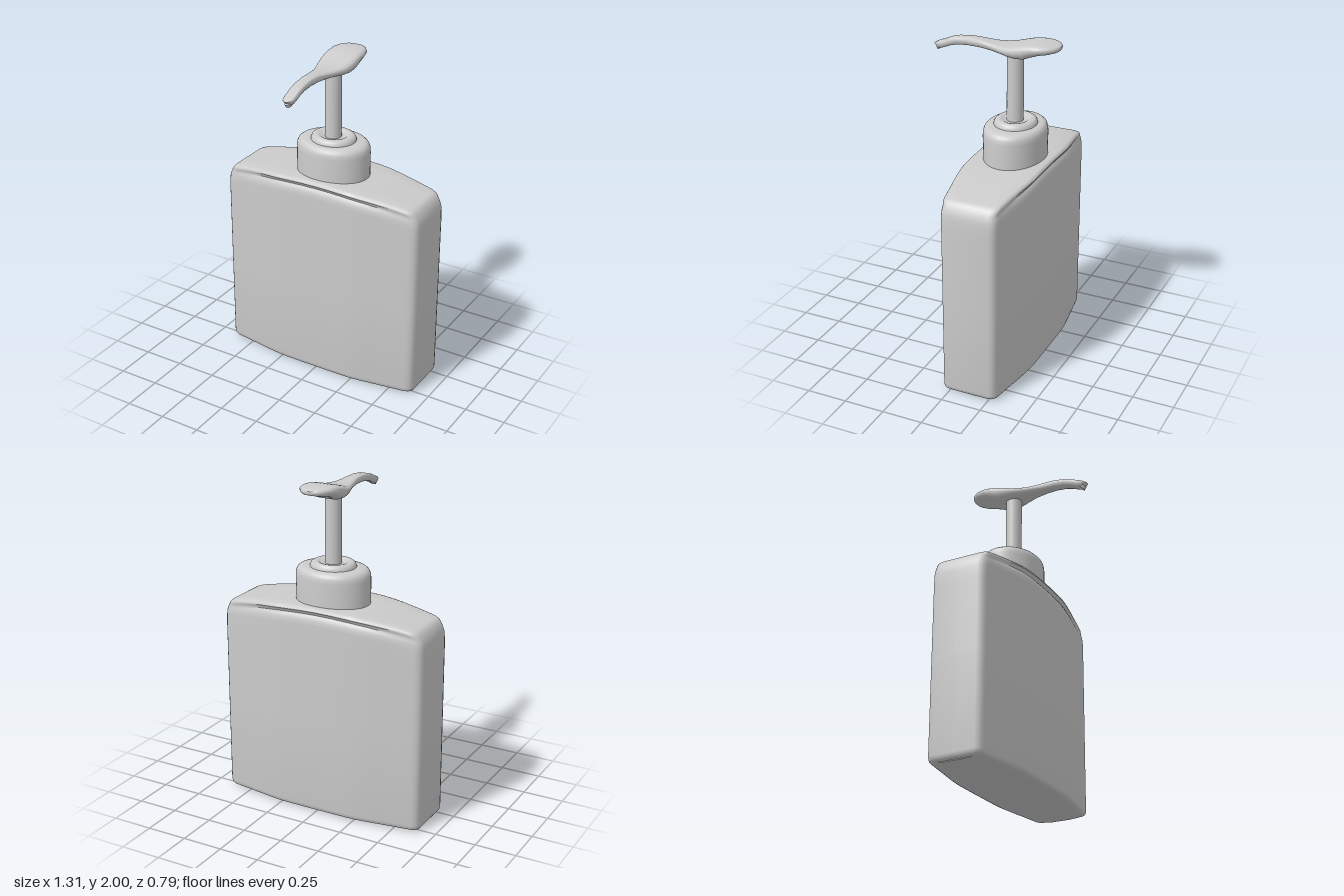
import * as THREE from 'three';
import { toCreasedNormals } from 'three/addons/utils/BufferGeometryUtils.js';

const material = new THREE.MeshStandardMaterial({ color: 0xcccccc });
const AXIS_Z = -0.125; // pump axis sits behind the spout

// Skin a list of closed rings, all with the same number of points
function loft(rings, crease) {
  const n = rings[0].length;
  const index = [];
  for (let i = 0; i < rings.length - 1; i++) {
    for (let j = 0; j < n; j++) {
      const a = i * n + j, b = i * n + (j + 1) % n;
      index.push(a, b, b + n, a, b + n, a + n);
    }
  }
  const geometry = new THREE.BufferGeometry();
  geometry.setAttribute('position', new THREE.Float32BufferAttribute(rings.flat(2), 3));
  geometry.setIndex(index);
  return toCreasedNormals(geometry, crease);
}

function part(name, geometry) {
  const mesh = new THREE.Mesh(geometry, material);
  mesh.name = name;
  return mesh;
}

// Flat bottle: bowed front and back, straight narrow sides, arched shoulder
function bottleGeometry() {
  const quarter = [[0, 0.23], [0.1, 0.23], [0.2, 0.229], [0.25, 0.227], [0.3, 0.222], [0.35, 0.215],
    [0.4, 0.207], [0.5, 0.191], [0.6, 0.176], [0.62, 0.172], [0.638, 0.163], [0.649, 0.15], [0.655, 0.13], [0.655, 0]];
  const back = quarter.slice(0, -1).reverse().map(([x, z]) => [x, -z]);
  const right = [...quarter, ...back];
  const left = right.slice(1, -1).reverse().map(([x, z]) => [-x, z]);
  const outline = [...right, ...left];
  const topY = (x) => 1.29 - 0.06 * (x / 0.62) ** 2;

  // [height or drop below the arch, inset in x, inset in z, groove depth, z scale]
  const lower = [[0, 0.025, 0.025, 0, 0], [0, 0.025, 0.025, 0, 0.5], [0.005, 0.025, 0.025, 0, 1],
    [0.012, 0.01, 0.01, 0, 1], [0.022, 0.003, 0.003, 0, 1], [0.04, 0, 0, 0, 1], [0.6, 0, 0, 0, 1]];
  const upper = [[0.16, 0, 0, 0, 1], [0.1, 0.002, 0, 0, 1], [0.07, 0.005, 0.001, 0, 1], [0.053, 0.01, 0.003, 0.006, 1],
    [0.041, 0.015, 0.004, 0.013, 1], [0.03, 0.021, 0.004, 0.008, 1], [0.02, 0.028, 0.003, 0, 1],
    [0.011, 0.036, 0.005, 0, 1], [0.004, 0.046, 0.012, 0, 1], [0, 0.06, 0.025, 0, 1],
    [0, 0.07, 0.03, 0, 0.6], [0, 0.07, 0.03, 0, 0]];

  const ring = ([h, insetX, insetZ, groove, scaleZ], arched) => outline.map(([x0, z0]) => {
    const x = x0 * (1 - insetX / 0.655);
    const bow = 1 - (x0 / 0.66) ** 4; // groove fades out at the corners
    const z = z0 * (1 - (insetZ + groove * bow) / 0.23) * scaleZ;
    return [x, arched ? topY(x) - h : h, z + AXIS_Z];
  });
  return loft([...lower.map((l) => ring(l, false)), ...upper.map((l) => ring(l, true))], 0.75);
}

// Turned part around the pump axis, squeezed front to back
function turned(name, profile, scaleZ) {
  const points = profile.map(([r, y]) => new THREE.Vector2(r, y));
  const geometry = toCreasedNormals(new THREE.LatheGeometry(points, 48), 0.7);
  geometry.scale(1, 1, scaleZ).translate(0, 0, AXIS_Z);
  return part(name, geometry);
}

// Thumb paddle tapering into a drooping spout
function handleGeometry() {
  // [z, top, bottom, half width, z shift of the underside]
  const stations = [
    [-0.397, 1.985, 1.968, 0.015, 0], [-0.39, 1.99, 1.962, 0.04, 0], [-0.375, 1.994, 1.957, 0.065, 0],
    [-0.34, 1.998, 1.948, 0.092, 0], [-0.29, 2, 1.938, 0.106, 0], [-0.24, 1.997, 1.92, 0.109, 0],
    [-0.2, 1.99, 1.902, 0.109, 0], [-0.15, 1.976, 1.899, 0.107, 0], [-0.1, 1.963, 1.902, 0.095, 0],
    [-0.05, 1.958, 1.909, 0.077, 0], [0, 1.958, 1.914, 0.06, 0], [0.05, 1.962, 1.917, 0.048, 0],
    [0.1, 1.967, 1.919, 0.04, 0], [0.17, 1.968, 1.92, 0.037, 0], [0.24, 1.959, 1.913, 0.036, 0],
    [0.29, 1.945, 1.9, 0.036, -0.005], [0.335, 1.925, 1.884, 0.036, -0.012], [0.365, 1.914, 1.876, 0.034, -0.02],
    [0.382, 1.906, 1.873, 0.026, -0.03], [0.391, 1.901, 1.874, 0.012, -0.032]];
  const soft = (v, p) => Math.sign(v) * Math.abs(v) ** p;
  const sides = 24;
  const rings = stations.map(([z, top, bottom, w, shift]) => Array.from({ length: sides }, (_, j) => {
    const a = (j / sides) * Math.PI * 2;
    const v = soft(Math.sin(a), 0.6);
    const x = w * soft(Math.cos(a), 0.4) * (v < 0 ? 1 + 0.15 * v : 1);
    return [x, (top + bottom) / 2 + v * (top - bottom) / 2, z + shift * (1 - v) / 2];
  }));
  // Close both ends by shrinking the last ring to its centre
  const cap = (ring) => {
    const c = [0, 1, 2].map((k) => ring.reduce((s, p) => s + p[k], 0) / sides);
    return ring.map(() => c);
  };
  return loft([cap(rings[0]), ...rings, cap(rings[rings.length - 1])], 0.75);
}

export function createModel() {
  const group = new THREE.Group();
  group.name = 'soapDispenser';

  group.add(part('bottle', bottleGeometry()));

  group.add(turned('collar', [[0.228, 1.2], [0.229, 1.43], [0.226, 1.455], [0.218, 1.473], [0.204, 1.484],
    [0.185, 1.489], [0.13, 1.489]], 0.79));
  group.add(turned('collarRing', [[0.14, 1.48], [0.137, 1.497], [0.13, 1.511], [0.117, 1.519], [0.1, 1.52],
    [0.085, 1.516], [0.075, 1.508], [0.03, 1.508]], 0.91));

  const stem = new THREE.CylinderGeometry(0.049, 0.049, 0.44, 32).translate(0, 1.71, AXIS_Z + 0.004);
  group.add(part('stem', stem));
  group.add(part('pumpHandle', handleGeometry()));

  // Small outlet under the spout tip
  const outlet = new THREE.CylinderGeometry(0.02, 0.02, 0.02, 20).rotateX(0.55).translate(0, 1.88, 0.358);
  group.add(part('outlet', outlet));

  return group;
}
